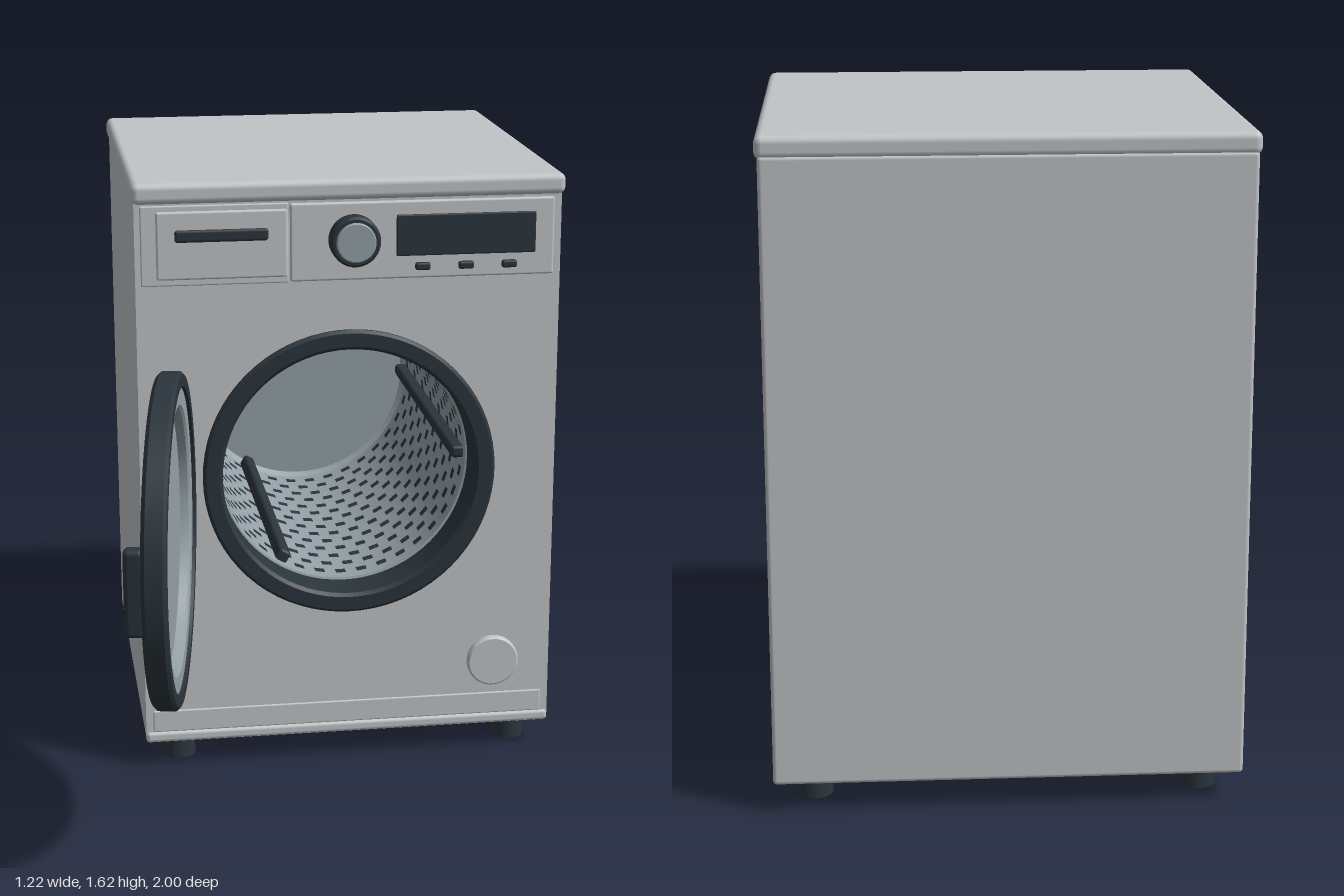
import * as THREE from 'three';
import { mergeGeometries, toCreasedNormals } from 'three/addons/utils/BufferGeometryUtils.js';
import { RoundedBoxGeometry } from 'three/addons/geometries/RoundedBoxGeometry.js';

const body = new THREE.MeshStandardMaterial({ name: 'enamel', color: 0xc2c5c7 });
const dark = new THREE.MeshStandardMaterial({ name: 'charcoal', color: 0x2b353c });
const steel = new THREE.MeshStandardMaterial({ name: 'blueGrey', color: 0x95a1a7 });

const CX = 0.04, CY = 0.82; // drum axis

function add(parent, name, geometry, material, x = 0, y = 0, z = 0) {
  const mesh = new THREE.Mesh(geometry, material);
  mesh.name = name;
  mesh.position.set(x, y, z);
  parent.add(mesh);
  return mesh;
}

// Rounded box given by its min and max corners
function block(parent, name, material, [x0, y0, z0], [x1, y1, z1], r = 0.005) {
  const g = new RoundedBoxGeometry(x1 - x0, y1 - y0, z1 - z0, 3, r);
  return add(parent, name, g, material, (x0 + x1) / 2, (y0 + y1) / 2, (z0 + z1) / 2);
}

// Turned part around the z axis, from [radius, z] pairs
function turned(points, segments = 72) {
  const g = new THREE.LatheGeometry(points.map(([r, z]) => new THREE.Vector2(r, z)), segments);
  return toCreasedNormals(g.rotateX(Math.PI / 2), 0.6);
}

function cabinetGeometry() {
  const x0 = -0.52, x1 = 0.6, y0 = 0.07, y1 = 1.57, r = 0.012;
  const s = new THREE.Shape();
  s.moveTo(x0 + r, y0);
  s.lineTo(x1 - r, y0).quadraticCurveTo(x1, y0, x1, y0 + r);
  s.lineTo(x1, y1).lineTo(x0, y1);
  s.lineTo(x0, y0 + r).quadraticCurveTo(x0, y0, x0 + r, y0);
  s.holes.push(new THREE.Path().absarc(CX, CY, 0.37, 0, Math.PI * 2, true));
  return new THREE.ExtrudeGeometry(s, { depth: 1.065, bevelEnabled: false, curveSegments: 36 });
}

function makeCabinet() {
  const g = new THREE.Group();
  g.name = 'cabinet';
  add(g, 'shell', cabinetGeometry(), body, 0, 0, -0.965);
  block(g, 'backSeam', body, [-0.508, 0.08, -0.985], [0.588, 1.57, -0.964], 0.003);
  block(g, 'backPanel', body, [-0.52, 0.07, -1], [0.6, 1.57, -0.972], 0.01);
  block(g, 'lid', body, [-0.527, 1.56, -1], [0.607, 1.615, 0.12], 0.018);
  block(g, 'kickPanel', body, [-0.5, 0.1, 0.08], [0.58, 0.162, 0.104], 0.004);
  block(g, 'bottomRail', body, [-0.52, 0.07, 0.08], [0.6, 0.1, 0.107], 0.01);
  add(g, 'filterCap', turned([[0.071, 0], [0.071, 0.014], [0.066, 0.02], [0, 0.02]], 48), body, 0.44, 0.26, 0.099);
  for (const x of [-0.425, 0.505]) for (const z of [0.015, -0.88]) {
    add(g, 'foot', new THREE.CylinderGeometry(0.045, 0.045, 0.075, 32), dark, x, 0.0375, z);
  }
  return g;
}

function makeControls() {
  const g = new THREE.Group();
  g.name = 'controls';
  block(g, 'drawerSurround', body, [-0.505, 1.345, 0.08], [-0.122, 1.555, 0.104], 0.004);
  block(g, 'controlPanel', body, [-0.118, 1.348, 0.08], [0.58, 1.553, 0.11], 0.006);
  block(g, 'drawer', body, [-0.465, 1.362, 0.08], [-0.125, 1.54, 0.112], 0.006);
  block(g, 'drawerHandle', dark, [-0.418, 1.46, 0.1], [-0.175, 1.493, 0.118], 0.008);
  block(g, 'display', dark, [0.16, 1.408, 0.1], [0.53, 1.517, 0.115], 0.004);
  for (const x of [0.23, 0.345, 0.46]) {
    block(g, 'button', dark, [x - 0.02, 1.37, 0.1], [x + 0.02, 1.39, 0.122], 0.006);
  }
  add(g, 'knob', turned([[0.066, 0], [0.066, 0.045], [0.06, 0.052], [0, 0.052]], 40), dark, 0.047, 1.456, 0.104);
  add(g, 'knobCap', turned([[0.052, 0], [0.052, 0.007], [0.049, 0.01], [0, 0.01]], 40), steel, 0.047, 1.456, 0.155);
  return g;
}

function makeDrum() {
  const g = new THREE.Group();
  g.name = 'drumAssembly';
  g.position.set(CX, CY, 0);
  add(g, 'doorSeal', turned([
    [0.394, 0.09], [0.394, 0.108], [0.386, 0.115], [0.35, 0.115], [0.341, 0.106], [0.341, 0], [0.36, -0.01],
  ]), dark);
  add(g, 'drum', turned([[0.36, -0.005], [0.338, -0.012], [0.338, -0.94], [0.325, -0.95], [0, -0.95]]), steel);

  // Staggered perforations on the drum wall
  const holes = [];
  const rows = 14, around = 36;
  for (let j = 0; j < rows; j++) {
    for (let i = 0; i < around; i++) {
      const a = ((i + (j % 2) / 2) / around) * Math.PI * 2;
      const h = new THREE.PlaneGeometry(0.028, 0.028).rotateY(-Math.PI / 2);
      h.translate(0.3365, 0, -0.06 - j * 0.064).rotateZ(a);
      holes.push(h);
    }
  }
  add(g, 'drumHoles', mergeGeometries(holes), dark);

  // Three lifting paddles
  for (let i = 0; i < 3; i++) {
    const p = new RoundedBoxGeometry(0.04, 0.034, 0.9, 3, 0.01);
    p.translate(0.325, 0, -0.49).rotateZ((i * Math.PI * 2) / 3);
    add(g, 'paddle', p, dark);
  }
  return g;
}

// Open door: local +z is its inner face, local +x its hinge side
function makeDoor() {
  const g = new THREE.Group();
  g.name = 'door';
  g.position.set(-0.48, CY, 0.585);
  g.rotation.y = THREE.MathUtils.degToRad(80);
  add(g, 'doorRim', turned([
    [0.33, -0.015], [0.33, -0.03], [0.405, -0.03], [0.415, -0.02], [0.415, 0.022], [0.407, 0.03],
    [0.378, 0.03], [0.375, 0.015],
  ]), dark);
  add(g, 'innerRing', turned([[0.378, 0.022], [0.333, 0.022], [0.325, 0.016], [0.32, -0.008]]), steel);
  add(g, 'doorGlass', turned([[0, -0.022], [0.335, -0.022], [0.335, -0.005], [0, -0.005]]), steel);
  block(g, 'doorHandle', dark, [-0.385, -0.108, -0.073], [-0.343, 0.108, -0.022], 0.014);
  return g;
}

function makeHinge() {
  const g = new THREE.Group();
  g.name = 'hinge';
  block(g, 'hingeBase', steel, [-0.455, 0.67, 0.095], [-0.395, 0.975, 0.148], 0.006);
  block(g, 'hingePlate', steel, [-0.43, 0.66, 0.146], [-0.385, 0.985, 0.164], 0.005);
  const arm = block(g, 'hingeArm', steel, [-0.425, 0.72, 0.135], [-0.385, 0.93, 0.2], 0.005);
  arm.rotation.y = THREE.MathUtils.degToRad(-10);
  return g;
}

export function createModel() {
  const model = new THREE.Group();
  model.name = 'washingMachine';
  model.add(makeCabinet(), makeControls(), makeDrum(), makeDoor(), makeHinge());
  return model;
}
